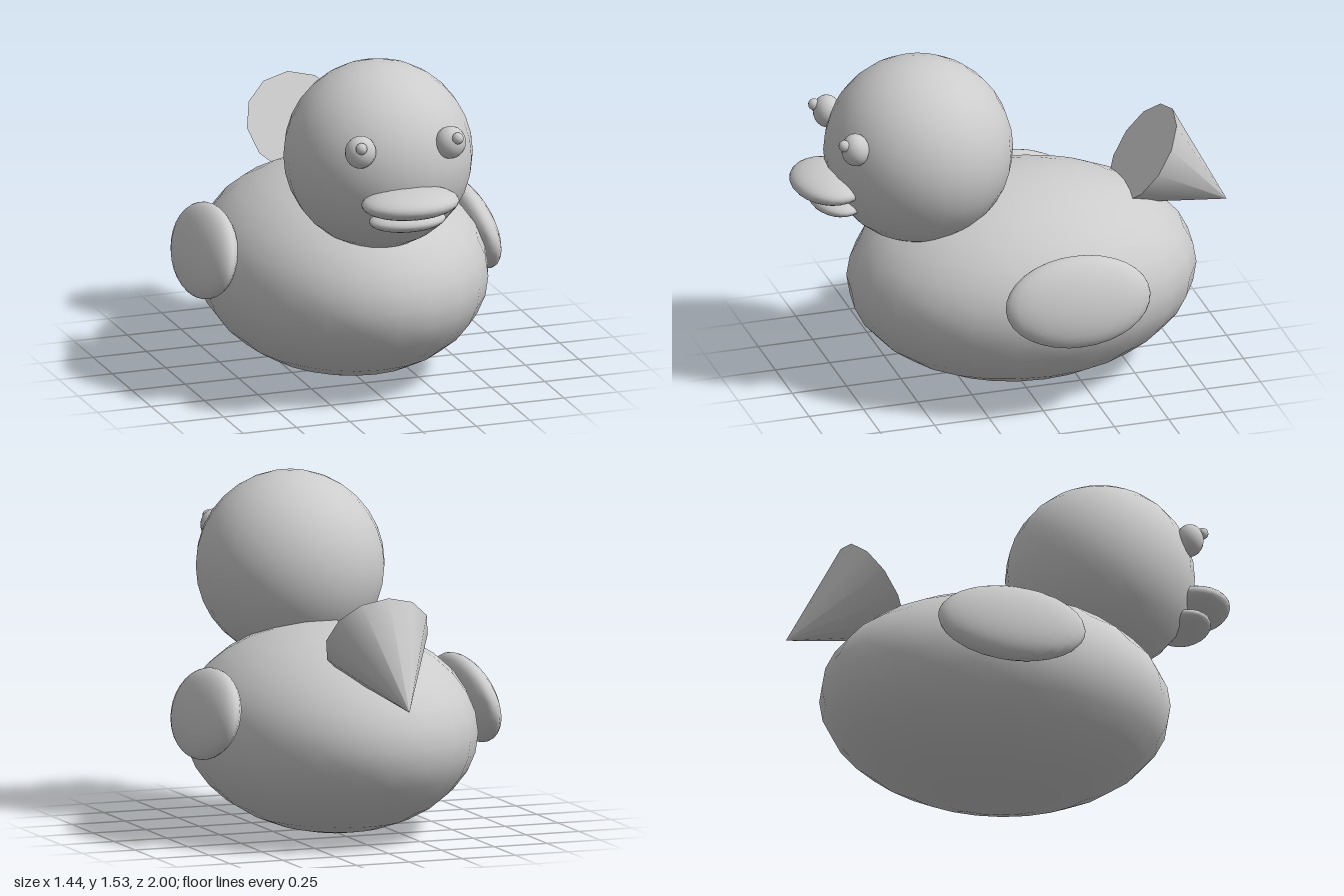
import * as THREE from 'three';

export function createModel() {
  const group = new THREE.Group();
  const grey = new THREE.MeshStandardMaterial({ color: 0xcccccc });
  grey.name = 'plain grey';

  // Smooth ellipsoid with given centre and radii
  function ellipsoid(name, [x, y, z], [rx, ry, rz], w = 24, h = 16) {
    const mesh = new THREE.Mesh(new THREE.SphereGeometry(1, w, h), grey);
    mesh.name = name;
    mesh.position.set(x, y, z);
    mesh.scale.set(rx, ry, rz);
    group.add(mesh);
    return mesh;
  }

  // Body and head
  ellipsoid('body', [0, 0.465, -0.055], [0.63, 0.46, 0.782]);
  ellipsoid('head', [0, 1.118, 0.42], [0.418, 0.418, 0.418]);

  // Bill
  ellipsoid('upperBill', [0, 1.015, 0.838], [0.222, 0.065, 0.162]);
  ellipsoid('lowerBill', [0, 0.925, 0.8], [0.175, 0.046, 0.115]);

  // Mirrored eyes, pupils and tilted wings
  for (const [side, s] of [['left', 1], ['right', -1]]) {
    ellipsoid(side + 'Eye', [s * 0.21, 1.252, 0.775], [0.07, 0.073, 0.062], 16, 12);
    ellipsoid(side + 'Pupil', [s * 0.225, 1.285, 0.83], [0.026, 0.026, 0.026], 12, 8);
    const wing = ellipsoid(side + 'Wing', [s * 0.615, 0.57, -0.125], [0.09, 0.204, 0.333]);
    wing.rotation.z = s * 0.29;
  }

  // Cone tail, tip pointing back and down
  const tail = new THREE.Mesh(new THREE.ConeGeometry(0.24, 0.476, 12), grey);
  tail.name = 'tail';
  tail.position.set(0, 0.808, -0.806);
  tail.rotation.x = -2.19;
  group.add(tail);

  return group;
}
